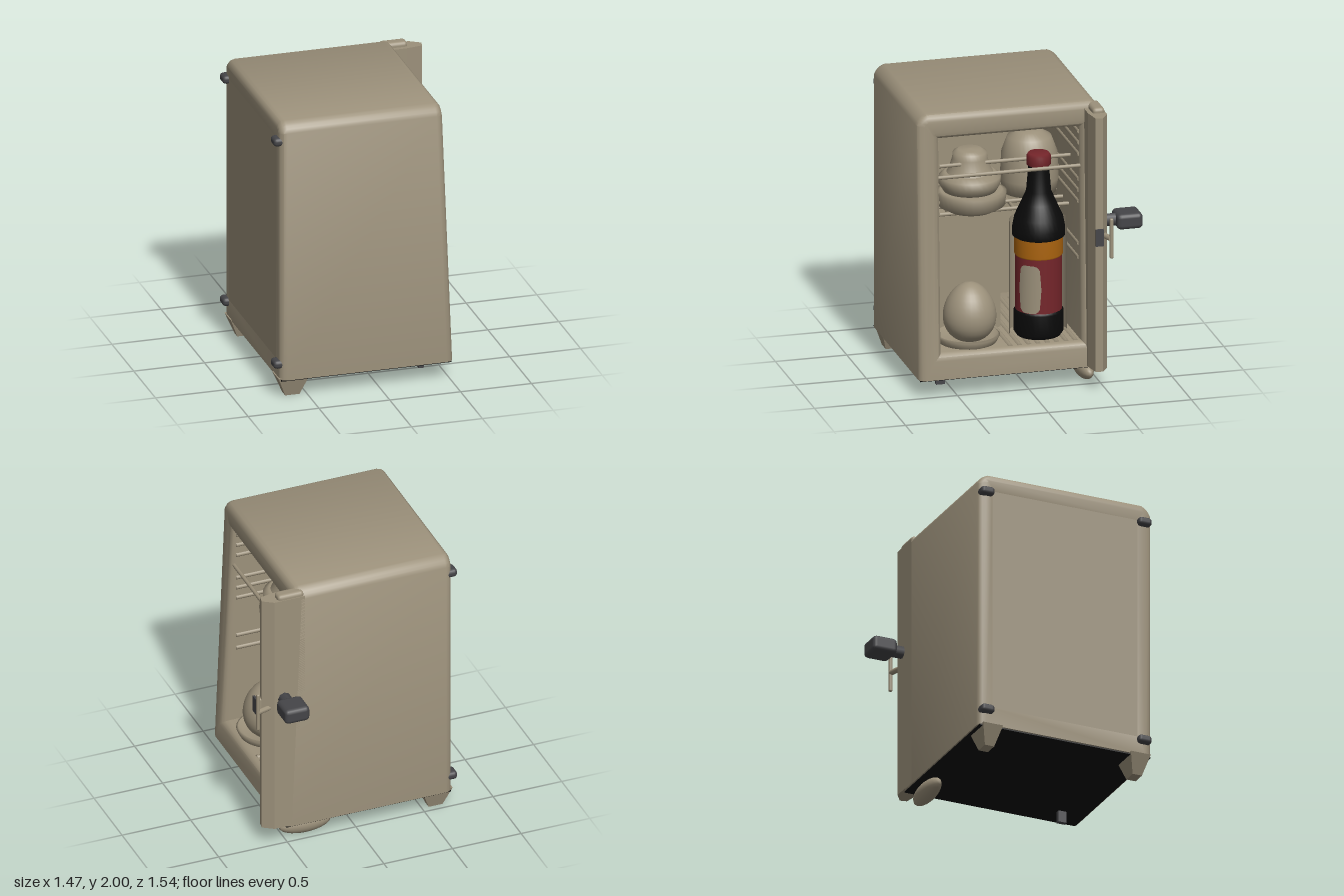
import * as THREE from 'three';
import { toCreasedNormals } from 'three/addons/utils/BufferGeometryUtils.js';
import { RoundedBoxGeometry } from 'three/addons/geometries/RoundedBoxGeometry.js';

const mat = (name, color, side = THREE.FrontSide) => {
  const m = new THREE.MeshStandardMaterial({ color, side });
  m.name = name;
  return m;
};

export function createModel() {
  const beige = mat('beige enamel', 0x9c917b, THREE.DoubleSide);
  const grey = mat('dark grey', 0x454548);
  const black = mat('black', 0x0a0a0a);
  const red = mat('dark red', 0x74252a);
  const orange = mat('orange', 0xab640f);

  const root = new THREE.Group();
  root.name = 'miniFridge';

  const add = (name, geo, material, x = 0, y = 0, z = 0, parent = root) => {
    const m = new THREE.Mesh(geo, material);
    m.name = name;
    m.position.set(x, y, z);
    parent.add(m);
    return m;
  };
  const box = (name, material, x0, x1, y0, y1, z0, z1, r = 0) => {
    const s = [x1 - x0, y1 - y0, z1 - z0];
    const geo = r ? new RoundedBoxGeometry(...s, 2, r) : new THREE.BoxGeometry(...s);
    return add(name, geo, material, (x0 + x1) / 2, (y0 + y1) / 2, (z0 + z1) / 2);
  };
  const rod = (name, a, b, r, material = beige) => {
    const p = new THREE.Vector3(...a), q = new THREE.Vector3(...b);
    const m = add(name, new THREE.CylinderGeometry(r, r, p.distanceTo(q), 8), material);
    m.position.copy(p).lerp(q, 0.5);
    m.quaternion.setFromUnitVectors(new THREE.Vector3(0, 1, 0), q.sub(p).normalize());
    return m;
  };
  const lathe = (name, pts, material, x, y, z, parent) =>
    add(name, new THREE.LatheGeometry(pts.map(p => new THREE.Vector2(...p)), 32), material, x, y, z, parent);

  // Cabinet shell, open towards +x; shape x is -z
  const b = 0.05;
  const rect = (S, x0, x1, y0, y1, c) => {
    const s = new S();
    s.moveTo(x0, y0); s.lineTo(x1, y0);
    s.lineTo(x1, y1 - c); s.quadraticCurveTo(x1 - c * 0.3, y1 - c * 0.3, x1 - c, y1);
    s.lineTo(x0 + c, y1); s.quadraticCurveTo(x0 + c * 0.3, y1 - c * 0.3, x0, y1 - c);
    s.closePath();
    return s;
  };
  const outline = rect(THREE.Shape, -0.77 + b, 0.52 - b, 0.13 + b, 2 - b, 0.035);
  outline.holes.push(rect(THREE.Path, -0.66, 0.42, 0.26, 1.87, 0.02));
  let shell = new THREE.ExtrudeGeometry(outline, {
    depth: 1.05, bevelEnabled: true, bevelSize: b, bevelThickness: b, bevelSegments: 3, curveSegments: 4,
  });
  shell.rotateY(Math.PI / 2);
  shell.translate(-0.65, 0, 0);
  // Square off the bottom and lean the open face outwards towards the floor
  const p = shell.attributes.position;
  for (let i = 0; i < p.count; i++) {
    if (p.getY(i) < 0.2) p.setY(i, 0.13);
    if (p.getX(i) > 0.3) p.setX(i, p.getX(i) + 0.075 * (1 - (p.getY(i) - 0.13) / 1.87));
  }
  shell = toCreasedNormals(shell, 0.6);
  add('cabinetShell', shell, beige);
  box('cabinetEndWall', beige, -0.7, -0.6, 0.26, 1.87, -0.42, 0.66);
  box('undersidePlate', black, -0.69, 0.51, 0.122, 0.13, -0.51, 0.76);

  // Open door continuing the rear wall
  const door = new THREE.Shape();
  [[0.38, 0.52], [0.6, 0.52], [0.675, 0.47], [0.665, 0.42], [0.55, 0.4], [0.4, 0.4]]
    .forEach(([x, y], i) => (i ? door.lineTo(x, y) : door.moveTo(x, y)));
  door.closePath();
  const doorGeo = new THREE.ExtrudeGeometry(door, { depth: 1.81, bevelEnabled: false });
  doorGeo.rotateX(-Math.PI / 2);
  add('door', doorGeo, beige, 0, 0.14, 0);
  box('doorTopLip', beige, 0.38, 0.57, 1.9, 1.985, -0.515, -0.43, 0.025);

  // Latch, handle bar and rear knob
  box('latchBlock', beige, 0.62, 0.7, 1.06, 1.16, -0.46, -0.42, 0.01);
  box('latchPlate', grey, 0.7, 0.715, 1.05, 1.17, -0.465, -0.41);
  rod('handleArm', [0.6, 1.1, -0.48], [0.72, 1.1, -0.515], 0.02);
  box('handleBar', beige, 0.708, 0.732, 0.96, 1.245, -0.53, -0.505, 0.01);
  rod('knobStem', [0.53, 1.17, -0.5], [0.53, 1.17, -0.61], 0.045, grey);
  box('knobHead', grey, 0.44, 0.62, 1.115, 1.225, -0.77, -0.59, 0.03);

  // Hinge caps on the closed side
  for (const y of [0.24, 1.86]) for (const z of [-0.465, 0.705])
    box('hingeCap', grey, -0.74, -0.64, y - 0.03, y + 0.03, z - 0.05, z + 0.05, 0.025);

  // Feet
  for (const z of [-0.42, 0.68]) {
    const foot = new THREE.CylinderGeometry(0.15, 0.07, 0.14, 4).toNonIndexed();
    foot.rotateY(Math.PI / 4);
    foot.computeVertexNormals();
    foot.scale(1.02, 1, 0.7);
    add('foot', foot, beige, -0.6, 0.07, z);
  }
  const pad = add('doorFoot', new THREE.SphereGeometry(1, 20, 12), beige, 0.34, 0.075, -0.42);
  pad.scale.set(0.19, 0.072, 0.06);
  box('frontTab', grey, 0.325, 0.36, 0.04, 0.13, 0.55, 0.61);

  // Wall rails, shelves and floor grille
  for (const y of [0.88, 0.98, 1.28, 1.36, 1.44, 1.62, 1.7, 1.78])
    for (const z of [-0.375, 0.615]) rod('wallRail', [-0.58, y, z], [0.42, y, z], 0.016);
  for (const [y, xs] of [[1.18, [-0.5, -0.33, -0.16, 0.01, 0.16]], [1.54, [0.2, 0.43]]])
    for (const x of xs) rod('shelfRod', [x, y, -0.38], [x, y, 0.63], 0.014);
  for (let z = -0.3; z < 0.6; z += 0.15) rod('shelfCrossRod', [-0.58, 1.165, z], [0.16, 1.165, z], 0.012);
  for (let i = 0; i < 8; i++) rod('floorGrilleBar', [-0.5, 0.3, 0.12 - i * 0.065], [0.47, 0.3, 0.12 - i * 0.065], 0.02);

  // Storage box in the lower compartment
  box('storageBox', beige, -0.6, 0.07, 0.29, 1.13, 0.08, 0.63);

  // Egg on a dish
  const egg = [];
  for (let i = 0; i <= 16; i++) {
    const t = -Math.PI / 2 + (i / 16) * Math.PI;
    egg.push([Math.max(0, Math.cos(t)) * (0.18 - 0.025 * Math.sin(t)), 0.21 * Math.sin(t)]);
  }
  lathe('egg', egg, beige, 0.28, 0.515, 0.355);
  lathe('eggDish', [[0, 0], [0.18, 0], [0.2, 0.025], [0.22, 0.065], [0.205, 0.075], [0.17, 0.04], [0, 0.03]],
    beige, 0.28, 0.29, 0.37);

  // Stacked bowls with a domed lid
  lathe('lowerBowl', [[0, 0], [0.16, 0], [0.23, 0.04], [0.24, 0.13], [0.21, 0.14], [0, 0.14]], beige, 0.12, 1.19, 0.3);
  lathe('upperBowl', [[0, 0], [0.18, 0], [0.21, 0.05], [0.21, 0.1], [0.17, 0.13], [0, 0.13]], beige, 0.12, 1.33, 0.31);
  lathe('bowlLid', [[0.17, 0], [0.14, 0.05], [0.12, 0.12], [0.115, 0.16], [0.08, 0.18], [0, 0.185]], beige, 0.12, 1.44, 0.31);

  // Rounded jar behind the bottle
  lathe('jar', [[0, 0], [0.18, 0], [0.2, 0.1], [0.19, 0.28], [0.15, 0.39], [0.08, 0.43], [0, 0.435]], beige, -0.15, 1.19, -0.18);

  // Bottle in coloured bands
  const bottle = new THREE.Group();
  bottle.name = 'bottle';
  bottle.position.set(0.345, 0, -0.11);
  root.add(bottle);
  const band = (name, pts, m) => lathe(name, pts, m, 0, 0, 0, bottle);
  band('bottleBase', [[0, 0.34], [0.15, 0.34], [0.17, 0.37], [0.17, 0.51], [0.16, 0.525]], black);
  band('bottleLabelBand', [[0.16, 0.525], [0.16, 0.91]], red);
  band('bottleNeckLabel', [[0.16, 0.91], [0.165, 0.92], [0.165, 1.04]], orange);
  band('bottleShoulder', [[0.165, 1.04], [0.18, 1.05], [0.18, 1.1], [0.165, 1.18], [0.12, 1.28], [0.085, 1.36], [0.07, 1.54]], black);
  band('bottleCap', [[0.07, 1.54], [0.083, 1.55], [0.083, 1.61], [0.07, 1.63], [0, 1.63]], red);

  // Rounded pale label wrapped on the bottle
  const label = new THREE.PlaneGeometry(2, 2, 16, 2);
  const lp = label.attributes.position;
  for (let i = 0; i < lp.count; i++) {
    const u = lp.getX(i), a = 0.92 + u * 0.5;
    const h = 0.17 * Math.pow(Math.max(0, 1 - u ** 4), 0.25);
    lp.setXYZ(i, 0.167 * Math.sin(a), 0.7 + lp.getY(i) * h, 0.167 * Math.cos(a));
  }
  label.computeVertexNormals();
  add('bottleLabel', label, beige, 0, 0, 0, bottle);

  // Cradle around the inner side of the bottle
  add('bottleCradle', new THREE.CylinderGeometry(0.2, 0.2, 0.8, 24, 1, true, Math.PI, Math.PI), beige, 0, 0.75, 0, bottle);

  return root;
}
